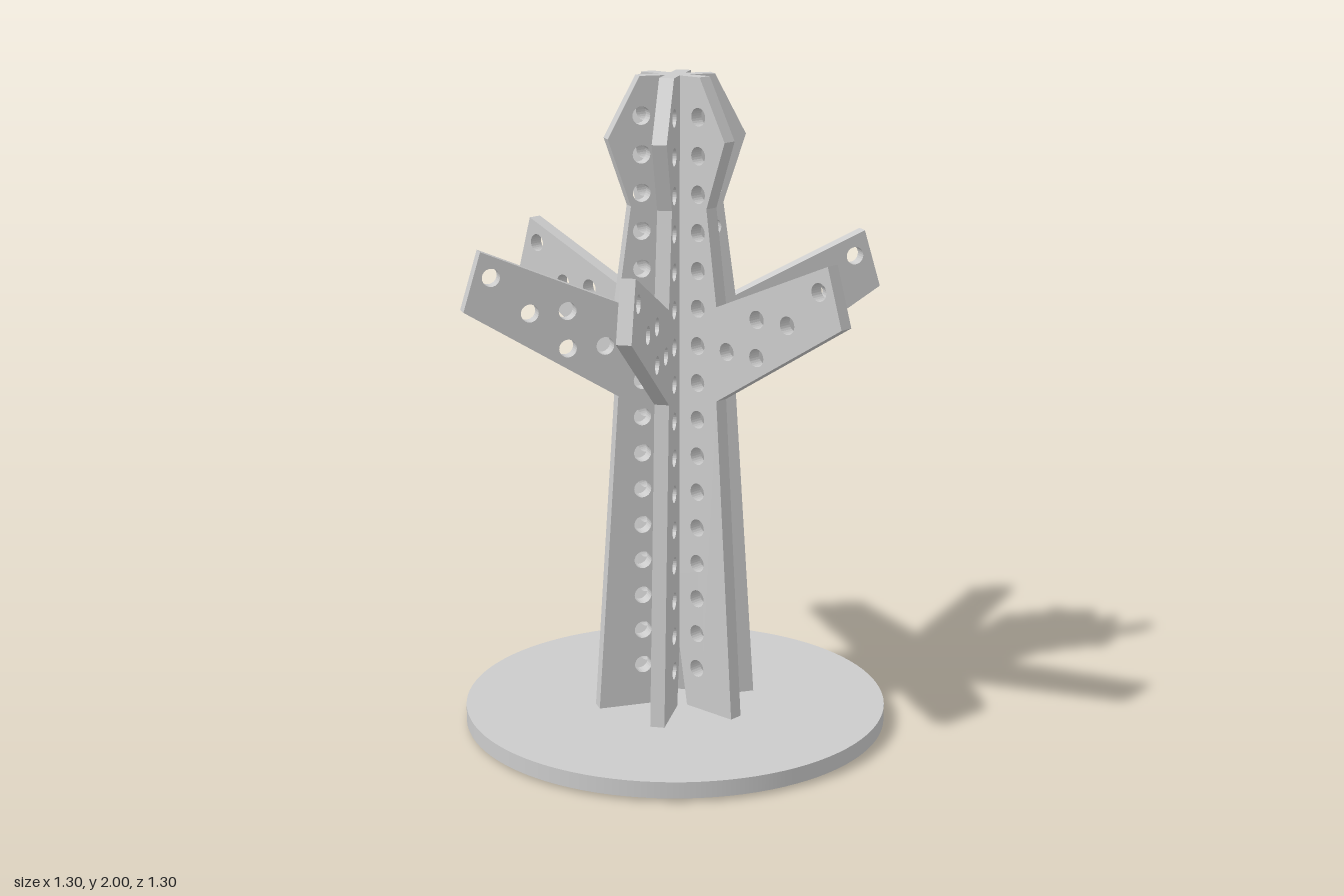
import * as THREE from 'three';

const material = new THREE.MeshStandardMaterial({ color: 0xcccccc });
const THICKNESS = 0.044;
const HOLE_RADIUS = 0.027;
const PITCH = 0.113;

// Flat board seen side on: x is the distance from the central axis, y is height
function finGeometry() {
  const outline = [
    [0.08, 0], [0.255, 0], [0.185, 1.05], [0.65, 1.335], [0.597, 1.51],
    [0.183, 1.335], [0.143, 1.62], [0.212, 1.82], [0.115, 2], [0, 2], [0, 0.47],
  ];
  const shape = new THREE.Shape(outline.map(([x, y]) => new THREE.Vector2(x, y)));

  // Column of holes up the trunk, then the holes along the branch
  const holes = [];
  for (let i = 0; i < 16; i++) holes.push([0.11, 0.19 + i * PITCH]);
  for (const [col, row] of [[1, 9], [2, 9], [2, 10], [3, 10], [4, 11]]) {
    holes.push([0.11 + col * PITCH * 1.01, 0.19 + row * PITCH]);
  }
  for (const [x, y] of holes) {
    const hole = new THREE.Path();
    hole.absarc(x, y, HOLE_RADIUS, 0, Math.PI * 2, true);
    shape.holes.push(hole);
  }

  const geometry = new THREE.ExtrudeGeometry(shape, {
    depth: THICKNESS, bevelEnabled: false, curveSegments: 12,
  });
  return geometry.translate(0, 0, -THICKNESS / 2);
}

export function createModel() {
  const model = new THREE.Group();
  model.name = 'treeStand';

  // Round base plate; the feet of the fins pass through it
  const base = new THREE.Mesh(new THREE.CylinderGeometry(0.65, 0.65, 0.05, 96), material);
  base.name = 'basePlate';
  base.position.y = 0.035;
  model.add(base);

  // Six equal fins around the central axis
  const geometry = finGeometry();
  for (let i = 0; i < 6; i++) {
    const fin = new THREE.Mesh(geometry, material);
    fin.name = `fin${i + 1}`;
    fin.rotation.y = (i * Math.PI) / 3;
    model.add(fin);
  }
  return model;
}
